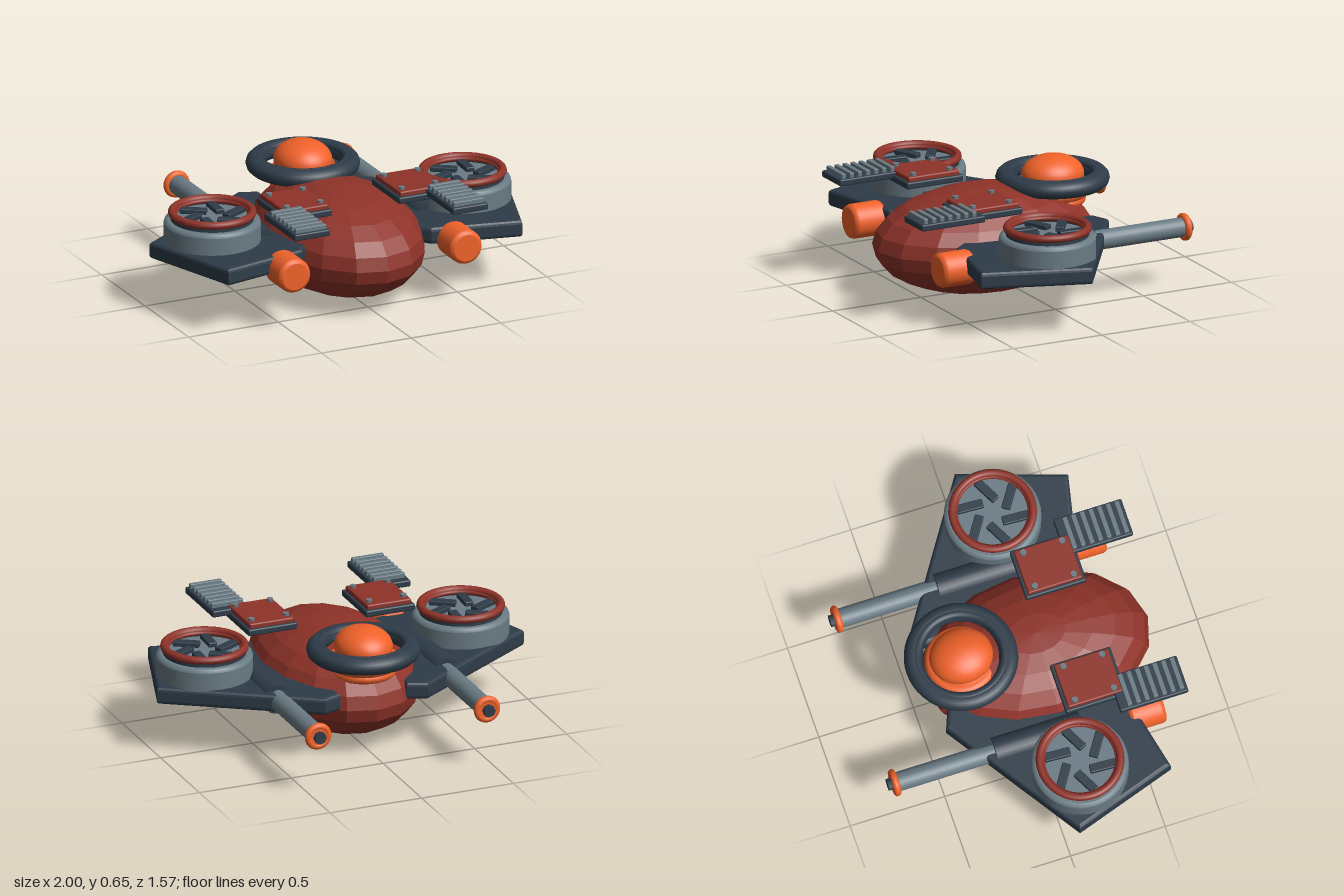
import * as THREE from 'three';
import { RoundedBoxGeometry } from 'three/addons/geometries/RoundedBoxGeometry.js';

const mat = (color, flatShading = false) => new THREE.MeshStandardMaterial({ color, flatShading });
const RED = mat(0x8f3329), RED_FLAT = mat(0x8f3329, true), DARK = mat(0x2e3c49);
const GREY = mat(0x6a7b84), ORANGE = mat(0xf0622a);

function add(parent, name, geometry, material, x = 0, y = 0, z = 0) {
  const mesh = new THREE.Mesh(geometry, material);
  mesh.name = name;
  mesh.position.set(x, y, z);
  parent.add(mesh);
  return mesh;
}
const box = (w, h, d, r = 0.008) => new RoundedBoxGeometry(w, h, d, 2, r);
const cyl = (r, h, n = 24) => new THREE.CylinderGeometry(r, r, h, n);
const cylZ = (r, h, n = 24) => cyl(r, h, n).rotateX(Math.PI / 2);
const ring = (R, r) => new THREE.TorusGeometry(R, r, 12, 48).rotateX(Math.PI / 2);

// Solid of revolution whose corners stay sharp: each pair of points is its own band
function turned(pairs, n = 40) {
  const pts = [];
  pairs.forEach(([r, y]) => pts.push(new THREE.Vector2(r, y)));
  return new THREE.LatheGeometry(pts, n);
}

// Five-sided wing plate with bevelled rim
function wing(side) {
  const outline = [[1, 0.05], [0.82, 0.59], [0.36, 0.49], [0.2, 0.3], [0.18, -0.38], [0.28, -0.42]];
  const shape = new THREE.Shape(outline.map(([x, z]) => new THREE.Vector2(x * side, z)));
  const b = 0.02;
  return new THREE.ExtrudeGeometry(shape, {
    depth: 0.09 - 2 * b, bevelEnabled: true, bevelSize: b, bevelThickness: b, bevelOffset: -b, bevelSegments: 3,
  }).rotateX(Math.PI / 2).translate(0, 0.37 - b, 0);
}

// Round fan with slanted vanes
function fan() {
  const g = new THREE.Group();
  g.name = 'fan';
  add(g, 'fanHousing', turned([[0, 0.34], [0.245, 0.34], [0.245, 0.34], [0.245, 0.46],
    [0.245, 0.46], [0.24, 0.475], [0.225, 0.48], [0.225, 0.48], [0, 0.48]]), GREY);
  add(g, 'fanCollar', new THREE.CylinderGeometry(0.21, 0.21, 0.035, 40, 1, true), DARK, 0, 0.495).material =
    new THREE.MeshStandardMaterial({ color: 0x2e3c49, side: THREE.DoubleSide });
  add(g, 'fanRim', ring(0.203, 0.02), RED, 0, 0.515);
  add(g, 'fanInnerRim', ring(0.188, 0.012), RED, 0, 0.505);
  for (let i = 0; i < 6; i++) {
    const a = (i + 0.05) * Math.PI / 3;
    const vane = add(g, 'fanVane', box(0.135, 0.025, 0.046, 0.005), DARK,
      0.118 * Math.cos(a), 0.495, 0.118 * Math.sin(a));
    vane.rotation.y = -(a - Math.PI / 6);
  }
  return g;
}

// Rear barrel with its sleeve, end ring and tip
function barrel() {
  const g = new THREE.Group();
  g.name = 'barrel';
  add(g, 'barrelSleeve', cylZ(0.076, 0.46), DARK, 0, 0, 0.005);
  add(g, 'barrelTube', cylZ(0.05, 0.56), GREY, 0, 0, -0.47);
  add(g, 'barrelEndCap', cylZ(0.058, 0.03), ORANGE, 0, 0, -0.752);
  add(g, 'barrelEndRing', new THREE.TorusGeometry(0.053, 0.018, 12, 32), ORANGE, 0, 0, -0.752);
  add(g, 'barrelTip', cylZ(0.032, 0.05, 8), DARK, 0, 0, -0.765);
  return g;
}

// Bolted armour plate
function plate() {
  const g = new THREE.Group();
  g.name = 'plate';
  add(g, 'plateBase', box(0.268, 0.035, 0.32), DARK, 0, 0.537);
  add(g, 'plateTop', box(0.24, 0.03, 0.288), RED, 0, 0.564);
  for (const x of [-0.094, 0.094])
    for (const z of [-0.1, 0.105]) add(g, 'bolt', cyl(0.016, 0.02, 12), GREY, x, 0.583, z);
  return g;
}

// Ribbed step
function step() {
  const g = new THREE.Group();
  g.name = 'step';
  add(g, 'stepBase', box(0.198, 0.035, 0.36), DARK, 0, 0.554);
  for (let i = 0; i < 7; i++)
    add(g, 'stepRib', box(0.172, 0.032, 0.024, 0.004), GREY, 0, 0.58, -0.125 + i * 0.0458);
  return g;
}

export function createModel() {
  const model = new THREE.Group();
  model.name = 'hoverCraft';

  // Faceted hull
  add(model, 'hull', new THREE.SphereGeometry(1, 16, 12).scale(0.405, 0.27, 0.595), RED_FLAT, 0, 0.28, 0.145);

  // Cockpit: banded seat, dome and surrounding ring
  const cockpit = new THREE.Group();
  cockpit.name = 'cockpit';
  cockpit.position.set(0, 0, -0.248);
  model.add(cockpit);
  add(cockpit, 'domeBase', new THREE.SphereGeometry(1, 32, 16).scale(0.165, 0.1, 0.165), ORANGE, 0, 0.47);
  add(cockpit, 'domeBand', ring(0.15, 0.035), ORANGE, 0, 0.475);
  add(cockpit, 'domeLowerBand', ring(0.14, 0.028), ORANGE, 0, 0.43);
  add(cockpit, 'dome', new THREE.SphereGeometry(1, 32, 20).scale(0.146, 0.1, 0.163), ORANGE, 0, 0.555);
  add(cockpit, 'cockpitRing', ring(1, 0.2).scale(0.24, 0.225, 0.24), DARK, 0, 0.537);
  add(cockpit, 'cockpitInnerRing', ring(0.222, 0.025), DARK, 0, 0.558);

  for (const s of [1, -1]) {
    add(model, 'wing', wing(s), DARK);

    const f = fan();
    f.position.set(0.698 * s, 0, 0.15);
    model.add(f);

    const b = barrel();
    b.position.set(0.46 * s, 0.326, 0);
    model.add(b);

    // Front lamp drum with rounded edges
    add(model, 'frontDrum', turned([[0, -0.092], [0.07, -0.092], [0.083, -0.086], [0.089, -0.072],
      [0.089, -0.072], [0.089, 0.072], [0.089, 0.072], [0.083, 0.086], [0.07, 0.092], [0.07, 0.092], [0, 0.092]], 28)
      .rotateX(Math.PI / 2), ORANGE, 0.478 * s, 0.3, 0.566);

    const p = plate();
    p.position.set(0.32 * s, 0, 0.318);
    model.add(p);

    const t = step();
    t.position.set(0.441 * s, 0, 0.597);
    model.add(t);
  }
  return model;
}
